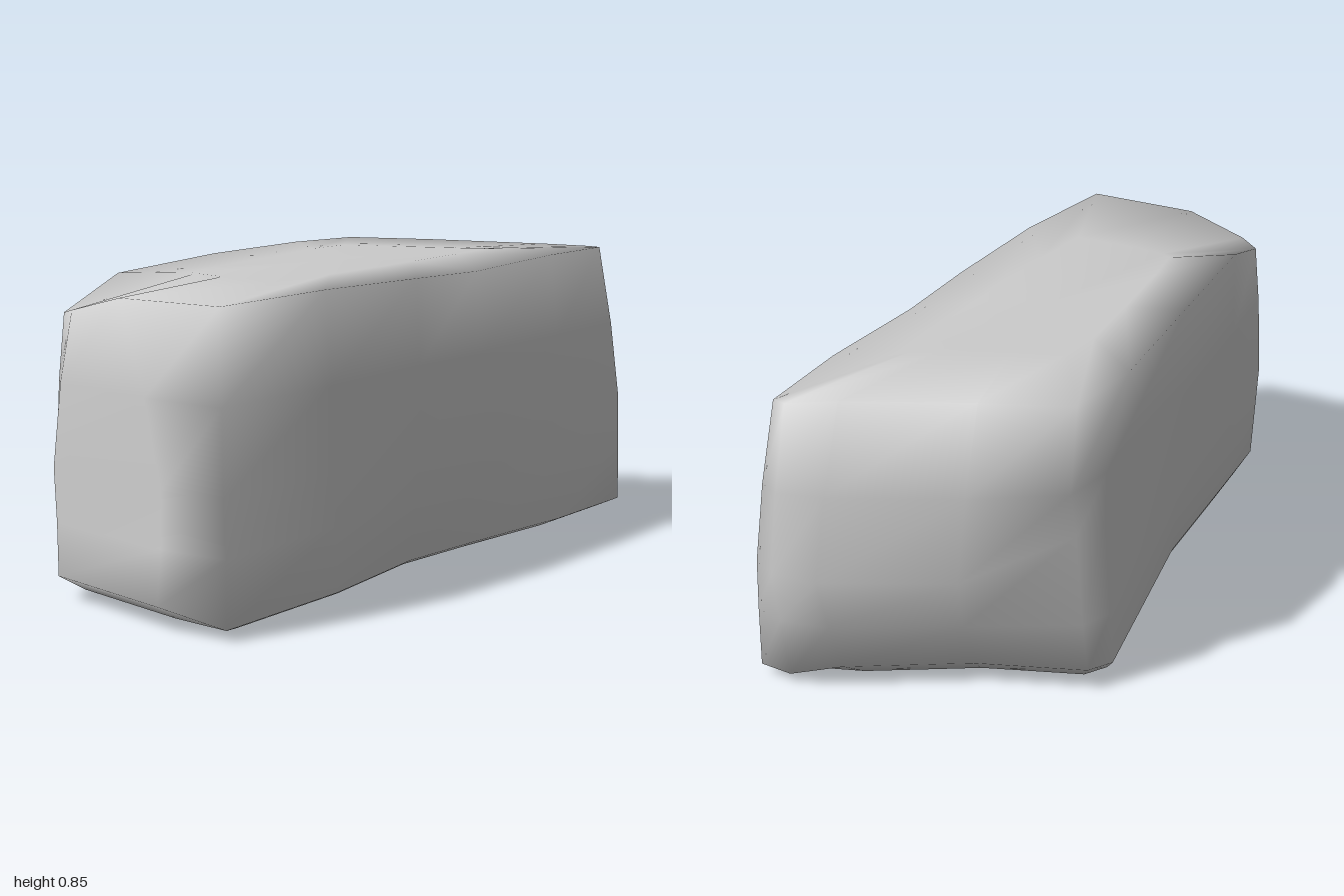
import * as THREE from 'three';

// Each column runs up the stone: [x, z] at the foot, the belly and the top edge, then the
// top height. Ordered from the front -x corner round the front, +x end, back and -x end.
const COLUMNS = [
  [-0.96, 0.45, -0.945, 0.43, -0.89, 0.375, 0.84],
  [-0.50, 0.44, -0.50, 0.43, -0.50, 0.40, 0.845],
  [-0.10, 0.385, -0.10, 0.42, -0.10, 0.40, 0.835],
  [0.20, 0.40, 0.20, 0.43, 0.20, 0.39, 0.825],
  [0.60, 0.43, 0.60, 0.43, 0.60, 0.38, 0.835],
  [0.95, 0.42, 0.955, 0.41, 0.905, 0.36, 0.83],
  [0.955, 0.32, 1.00, 0.33, 0.91, 0.32, 0.83],
  [0.90, 0.18, 0.98, 0.20, 0.84, 0.20, 0.835],
  [0.71, -0.12, 0.80, -0.13, 0.68, -0.13, 0.84],
  [0.59, -0.41, 0.61, -0.385, 0.57, -0.365, 0.84],
  [0.52, -0.45, 0.50, -0.41, 0.32, -0.385, 0.845],
  [-0.14, -0.30, -0.12, -0.33, -0.12, -0.33, 0.853],
  [-0.60, -0.25, -0.60, -0.265, -0.60, -0.26, 0.847],
  [-0.86, -0.22, -0.88, -0.23, -0.86, -0.21, 0.77],
  [-0.94, -0.17, -0.93, -0.19, -0.89, -0.15, 0.785],
  [-1.00, 0.25, -0.96, 0.23, -0.905, 0.04, 0.835],
];

const lerp = THREE.MathUtils.lerp;
const inset = (p, k, y) => [p[0] * k, y, (p[2] - 0.03) * k + 0.03];

// Rings of [x, y, z] from the underside to the top surface
function buildRings() {
  // the front edge of the foot sits lower than the back, and the back bulge rides higher
  const low = COLUMNS.map((c) => [c[0], c[1] > 0.3 ? 0.03 : 0.065, c[1]]);
  const mid = COLUMNS.map((c) => [c[2], c[3] < -0.36 ? 0.48 : 0.36, c[3]]);
  const top = COLUMNS.map((c) => [c[4], c[6], c[5]]);
  // the back steps in sharply above the belly
  const waist = mid.map((m, j) => [
    lerp(m[0], top[j][0], 0.4),
    0.59,
    lerp(m[2], top[j][2], m[2] < -0.36 ? 1.3 : 0.4),
  ]);
  return [
    low.map((p) => inset(p, 0.91, 0.012)),
    low,
    low.map((p, j) => [lerp(p[0], mid[j][0], 0.6), 0.21, lerp(p[2], mid[j][2], 0.4)]),
    mid,
    waist,
    top,
    top.map((p) => inset(p, 0.55, 0.85)),
  ];
}

// Skin the rings and close both ends with a fan
function loft(rings, bottomY, topY) {
  const n = COLUMNS.length;
  const positions = rings.flat(2);
  const index = [];
  for (let i = 0; i < rings.length - 1; i++) {
    for (let j = 0; j < n; j++) {
      const a = i * n + j;
      const b = i * n + ((j + 1) % n);
      index.push(a, b, b + n, a, b + n, a + n);
    }
  }
  const foot = rings.length * n;
  const crown = foot + 1;
  positions.push(0, bottomY, 0.03, 0, topY, 0.03);
  const last = (rings.length - 1) * n;
  for (let j = 0; j < n; j++) {
    const k = (j + 1) % n;
    index.push(foot, k, j, crown, last + j, last + k);
  }
  const geometry = new THREE.BufferGeometry();
  geometry.setAttribute('position', new THREE.Float32BufferAttribute(positions, 3));
  geometry.setIndex(index);
  geometry.computeVertexNormals();
  return geometry;
}

export function createModel() {
  const group = new THREE.Group();
  group.name = 'rock';
  const stone = new THREE.Mesh(
    loft(buildRings(), 0, 0.85),
    new THREE.MeshStandardMaterial({ color: 0xcccccc })
  );
  stone.name = 'stoneBlock';
  group.add(stone);
  return group;
}
